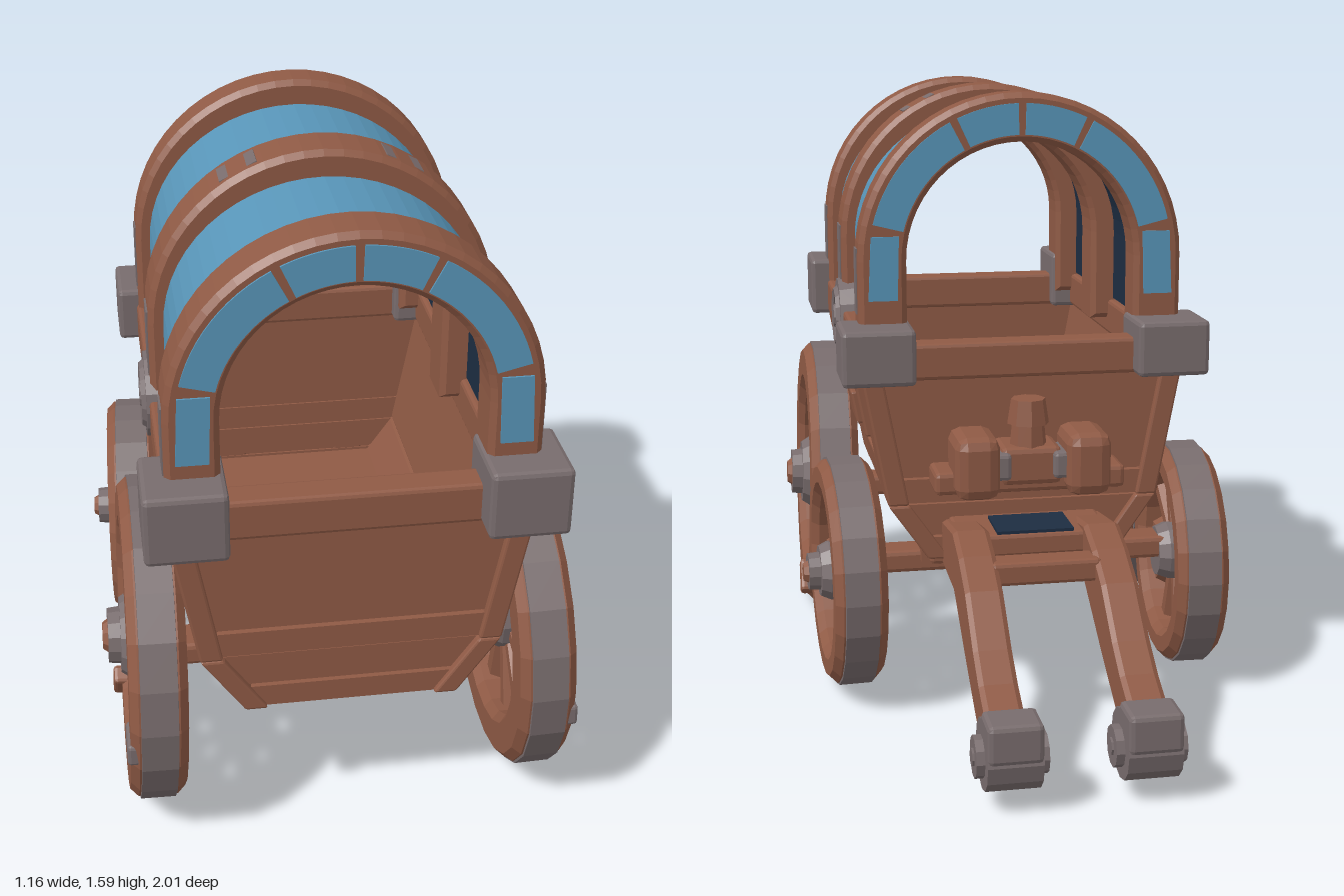
import * as THREE from 'three';
import { RoundedBoxGeometry } from 'three/addons/geometries/RoundedBoxGeometry.js';

const mat = (name, color) => Object.assign(new THREE.MeshStandardMaterial({ color }), { name });

export function createModel() {
  const wood = mat('wood', 0x8f5a45), blue = mat('blueCloth', 0x5895b8);
  const metal = mat('greyMetal', 0x786c6d), navy = mat('navyLining', 0x1d2d42);
  const root = new THREE.Group();
  root.name = 'coveredWagon';

  // faceted mesh from any geometry
  const add = (name, geo, m, parent = root) => {
    const g = geo.index ? geo.toNonIndexed() : geo;
    g.computeVertexNormals();
    const mesh = new THREE.Mesh(g, m);
    mesh.name = name;
    parent.add(mesh);
    return mesh;
  };
  // box given by its limits, optionally with chamfered edges
  const box = (x0, x1, y0, y1, z0, z1, r = 0) => {
    const s = [x1 - x0, y1 - y0, z1 - z0];
    const g = r ? new RoundedBoxGeometry(...s, 1, r) : new THREE.BoxGeometry(...s);
    return g.translate((x0 + x1) / 2, (y0 + y1) / 2, (z0 + z1) / 2);
  };
  const remap = (g, f) => {
    const p = g.attributes.position;
    for (let i = 0; i < p.count; i++) p.setXYZ(i, ...f(p.getX(i), p.getY(i), p.getZ(i)));
    return g;
  };
  // cylinder lying along x
  const disc = (r0, r1, x0, x1, y, z, n = 14) =>
    new THREE.CylinderGeometry(r1, r0, x1 - x0, n).rotateZ(-Math.PI / 2).translate((x0 + x1) / 2, y, z);
  const lathe = (pts, n) =>
    new THREE.LatheGeometry(pts.map(p => new THREE.Vector2(...p)), n).rotateZ(-Math.PI / 2);

  // ---- hull: walls lean outward, more steeply above the knee ----
  const knee = 0.53;
  const halfWidth = y => 0.35 + (y > knee ? 0.19 : 0.7) * (Math.min(y, 0.87) - knee);
  const halves = [[0.38, knee], [knee, 0.88]];
  const endBoard = (w, y0, y1, z0, z1) =>
    remap(box(-1, 1, y0, y1, z0, z1), (x, y, z) => [x * (halfWidth(y) + w), y, z]);
  const sideBoard = (s, x0, x1, y0, y1, z0, z1) =>
    remap(box(Math.min(s * x0, s * x1), Math.max(s * x0, s * x1), y0, y1, z0, z1, 0.006),
      (x, y, z) => [x + s * halfWidth(y), y, z]);

  add('floor', box(-0.24, 0.24, 0.38, 0.43, -0.2, 0.89), wood);
  const rows = [[0.38, 0.437, 0.005], [0.443, 0.527, 0], [0.533, 0.597, 0.006], [0.603, 0.87, 0]];
  for (const [y0, y1, out] of rows) {
    add('frontPlank', endBoard(-0.02, y0, y1, 0.85, 0.895 + out), wood);
    add('rearPlank', endBoard(-0.02, y0, y1, -0.215 - out, -0.17), wood);
  }
  for (const [y0, y1] of halves) {
    add('frontWallCore', endBoard(-0.03, y0, y1, 0.86, 0.885), wood);
    add('rearWallCore', endBoard(-0.03, y0, y1, -0.2, -0.175), wood);
  }
  add('frontRail', box(-0.4, 0.4, 0.865, 0.965, 0.84, 0.92, 0.01), wood);
  add('rearRail', box(-0.4, 0.4, 0.865, 0.96, -0.24, -0.16, 0.01), wood);

  for (const s of [1, -1]) {
    const sx = (a, b) => [Math.min(s * a, s * b), Math.max(s * a, s * b)];
    for (const [y0, y1] of halves) {
      add('sideWall', sideBoard(s, -0.05, -0.012, y0, y1, -0.2, 0.89), wood);
      add('sidePlank', sideBoard(s, -0.03, -0.004, y0 + 0.006, y1 - 0.006, -0.19, 0.88), wood);
      for (const [z0, z1] of [[0.79, 0.915], [0.27, 0.43], [-0.235, -0.08]])
        add('sidePost', sideBoard(s, -0.045, 0.01, y0, y1, z0, z1), wood);
    }
    add('sideRail', box(...sx(0.35, 0.43), 0.87, 0.97, -0.22, 0.92, 0.01), wood);

    // corner brackets
    add('frontCorner', box(...sx(0.29, 0.48), 0.865, 1.035, 0.8, 1.0, 0.012), metal);
    add('rearCorner', box(...sx(0.29, 0.48), 0.865, 1.01, -0.305, -0.12, 0.012), metal);

    // round boss at the foot of the middle hoop
    const boss = new THREE.Group();
    boss.name = 'sideBoss';
    boss.rotation.y = s > 0 ? 0 : Math.PI;
    root.add(boss);
    const bz = s * 0.335;
    add('bossPlate', disc(0.115, 0.108, 0.39, 0.437, 0.94, bz), metal, boss);
    add('bossRing', new THREE.TorusGeometry(0.075, 0.013, 5, 14).rotateY(Math.PI / 2).translate(0.436, 0.94, bz), metal, boss);
    add('bossKnob', disc(0.045, 0.03, 0.43, 0.45, 0.94, bz, 10), metal, boss);

    // side hatch
    add('hatchFrame', sideBoard(s, -0.01, 0.02, 0.67, 0.83, -0.035, 0.2), wood);
    add('hatchPanel', sideBoard(s, 0, 0.034, 0.7, 0.79, 0.0, 0.15), wood);
    add('hatchStrap', sideBoard(s, 0, 0.028, 0.73, 0.77, 0.13, 0.195), metal);
    add('lowerSidePlank', sideBoard(s, -0.01, 0.01, 0.54, 0.64, -0.07, 0.24), wood);
    add('sideBeam', box(...sx(0.17, 0.25), 0.36, 0.42, -0.22, 0.88, 0.01), wood);
  }

  // ---- canopy: arch with straight legs, its crown optionally flattened ----
  const arch = (rO, rI, y0, z0, z1, bevel = 0, flat = 0) => {
    const yc = 1.17, b = bevel, sh = new THREE.Shape();
    rO -= b; rI += b;
    sh.moveTo(rO, y0);
    sh.lineTo(rO, yc);
    sh.absellipse(0, yc, rO, rO - flat, 0, Math.PI, false);
    sh.lineTo(-rO, y0);
    sh.lineTo(-rI, y0);
    sh.lineTo(-rI, yc);
    sh.absellipse(0, yc, rI, rI - flat, Math.PI, 0, true);
    sh.lineTo(rI, y0);
    return new THREE.ExtrudeGeometry(sh, {
      depth: z1 - z0 - 2 * b, curveSegments: 14, bevelEnabled: b > 0,
      bevelSize: b, bevelThickness: b, bevelSegments: 1,
    }).translate(0, 0, z0 + b);
  };
  add('canopyCloth', arch(0.388, 0.374, 0.975, -0.12, 0.84, 0, 0.026), blue);
  add('canopyLining', arch(0.375, 0.365, 0.975, -0.115, 0.835, 0, 0.026), navy);
  const hoops = [['frontHoop', 0.785, 0.915], ['middleHoop', 0.29, 0.43], ['rearHoop', -0.2, -0.09]];
  for (const [name, z0, z1] of hoops) {
    add(name, arch(0.425, 0.3, 0.93, z0, z1, 0.014), wood);
    for (const s of [1, -1])
      add('hoopStrap', box(s * 0.424 - 0.004, s * 0.424 + 0.004, 1.03, 1.2, z0 + 0.04, z1 - 0.02), metal);
  }
  for (const a of [62, 118]) // straps over the middle hoop
    add('hoopStrap', box(-0.05, 0.05, -0.004, 0.004, 0.32, 0.4).rotateZ((a - 90) * Math.PI / 180)
      .translate(0.42 * Math.cos(a * Math.PI / 180), 1.17 + 0.42 * Math.sin(a * Math.PI / 180), 0), metal);

  // blue inlays on the outer faces of the end hoops
  const inlay = (a0, a1) => {
    const sh = new THREE.Shape(), r = Math.PI / 180;
    sh.absarc(0, 1.17, 0.398, a0 * r, a1 * r, false);
    sh.absarc(0, 1.17, 0.318, a1 * r, a0 * r, true);
    return sh;
  };
  const legInlay = s => new THREE.Shape([[0.325, 1.07], [0.4, 1.07], [0.392, 1.235], [0.32, 1.235]]
    .map(([x, y]) => new THREE.Vector2(s * x, y)));
  const inlays = [[14, 62], [65, 88.5], [91.5, 115], [118, 166]]
    .map(a => inlay(...a)).concat(legInlay(1), legInlay(-1));
  for (const z of [0.912, -0.205])
    for (const sh of inlays)
      add('hoopInlay', new THREE.ExtrudeGeometry(sh, { depth: 0.008, bevelEnabled: false, curveSegments: 6 })
        .translate(0, 0, z), blue);

  // ---- wheels: tilt leans the top inward, toe turns the back edge inward ----
  const wheel = (name, s, R, inner, hub, spokes, y, z, tilt, toe) => {
    const g = new THREE.Group();
    g.name = name;
    g.position.set(s * 0.463, y, z);
    g.rotation.set(0, (s > 0 ? 0 : Math.PI) + s * toe, tilt);
    root.add(g);
    const c = 0.02, w = 0.068, O = R - 0.006;
    add('rim', lathe([[inner, -w + c], [inner + c, -w], [O - c, -w], [O, -w + c], [O, w - c],
      [O - c, w], [inner + c, w], [inner, w - c], [inner, -w + c]], 22), wood, g);
    add('tyre', lathe([[O - 0.01, -0.045], [R, -0.043], [R, 0.043], [O - 0.01, 0.045]], 22), metal, g);
    for (let i = 0; i < spokes; i++)
      add('spoke', new THREE.CylinderGeometry(0.033, 0.025, inner + 0.02, 6).translate(0, inner / 2 + 0.01, 0)
        .rotateX((i + 0.5) / spokes * Math.PI * 2), wood, g);
    add('hub', lathe([[0, -0.07], [hub * 0.85, -0.07], [hub, -0.04], [hub, 0.05], [hub * 0.85, 0.075],
      [hub * 0.65, 0.075], [hub * 0.62, 0.105], [0, 0.105]], 12), metal, g);
    add('hubCap', disc(hub * 0.42, hub * 0.3, 0.1, 0.118, 0, 0, 8), wood, g);
    return g;
  };
  for (const s of [1, -1]) {
    const big = wheel('frontWheel', s, 0.402, 0.28, 0.11, 12, 0.405, 0.61, 0.025, 0);
    add('rimClamp', box(0.02, 0.076, -0.1, -0.045, s * 0.33 - 0.05, s * 0.33 + 0.05, 0.008), metal, big);
    add('rimPeg', box(0.04, 0.09, -0.05, 0.05, -0.025, 0.025, 0.01)
      .rotateX(s * 0.6).translate(0, -0.28, s * -0.18), wood, big);
    wheel('rearWheel', s, 0.306, 0.218, 0.08, 10, 0.33, -0.12, 0, 0.05);
  }

  // ---- running gear ----
  add('frontAxle', box(-0.42, 0.42, 0.33, 0.39, 0.56, 0.66, 0.012), wood);
  add('rearAxle', box(-0.42, 0.42, 0.325, 0.385, -0.17, -0.07, 0.012), wood);
  add('rearBolster', box(-0.27, 0.27, 0.36, 0.4, -0.19, -0.05), wood);
  add('centreBeam', box(-0.05, 0.05, 0.335, 0.385, -0.12, 0.62), wood);

  // ---- draw shafts ----
  for (const s of [1, -1]) {
    const top = [[0.18, 0.47], [0.4, 0.5], [0.5, 0.465], [0.6, 0.41], [0.72, 0.305], [0.8, 0.25], [0.9, 0.2]];
    const low = [[0.9, 0.09], [0.75, 0.165], [0.6, 0.25], [0.42, 0.36], [0.18, 0.37]];
    const sh = new THREE.Shape([...top, ...low].reverse().map(p => new THREE.Vector2(...p)));
    add('drawShaft', new THREE.ExtrudeGeometry(sh, { depth: 0.07, bevelSize: 0.008, bevelThickness: 0.012, bevelSegments: 1 })
      .rotateY(Math.PI / 2).translate(s * 0.17 - 0.035, 0, 0), wood);
    const x = s * 0.163;
    add('shaftCap', disc(0.085, 0.085, x - 0.065, x + 0.065, 0.135, -0.91, 12), metal);
    add('shaftCapLip', box(x - 0.065, x + 0.065, 0.14, 0.235, -1.0, -0.89, 0.012), metal);
    add('shaftPin', disc(0.05, 0.05, x - 0.085, x + 0.085, 0.13, -0.91, 10), metal);
    add('shaftPinCore', disc(0.022, 0.022, x - 0.09, x + 0.09, 0.13, -0.91, 8), metal);
  }
  add('shaftCrossbar', box(-0.14, 0.14, 0.4, 0.46, -0.54, -0.46, 0.01), wood);

  // ---- rear step and box seat ----
  add('step', box(-0.2, 0.2, 0.43, 0.49, -0.4, -0.18, 0.01), wood);
  add('stepMat', box(-0.1, 0.1, 0.49, 0.498, -0.395, -0.25), navy);
  add('seatShelf', box(-0.25, 0.25, 0.58, 0.64, -0.33, -0.2, 0.012), wood);
  for (const s of [1, -1]) {
    add('seatBox', box(s * 0.145 - 0.058, s * 0.145 + 0.058, 0.575, 0.74, -0.39, -0.21, 0.03), wood);
    add('seatClasp', box(s * 0.08 - 0.025, s * 0.08 + 0.025, 0.62, 0.69, -0.36, -0.24, 0.01), metal);
  }
  add('seatCentre', box(-0.08, 0.08, 0.6, 0.7, -0.34, -0.2, 0.015), wood);
  add('seatPost', new THREE.CylinderGeometry(0.04, 0.05, 0.1, 8).translate(0, 0.73, -0.285), wood);
  add('seatKnob', new THREE.CylinderGeometry(0.045, 0.055, 0.065, 8).translate(0, 0.787, -0.285), wood);

  return root;
}
